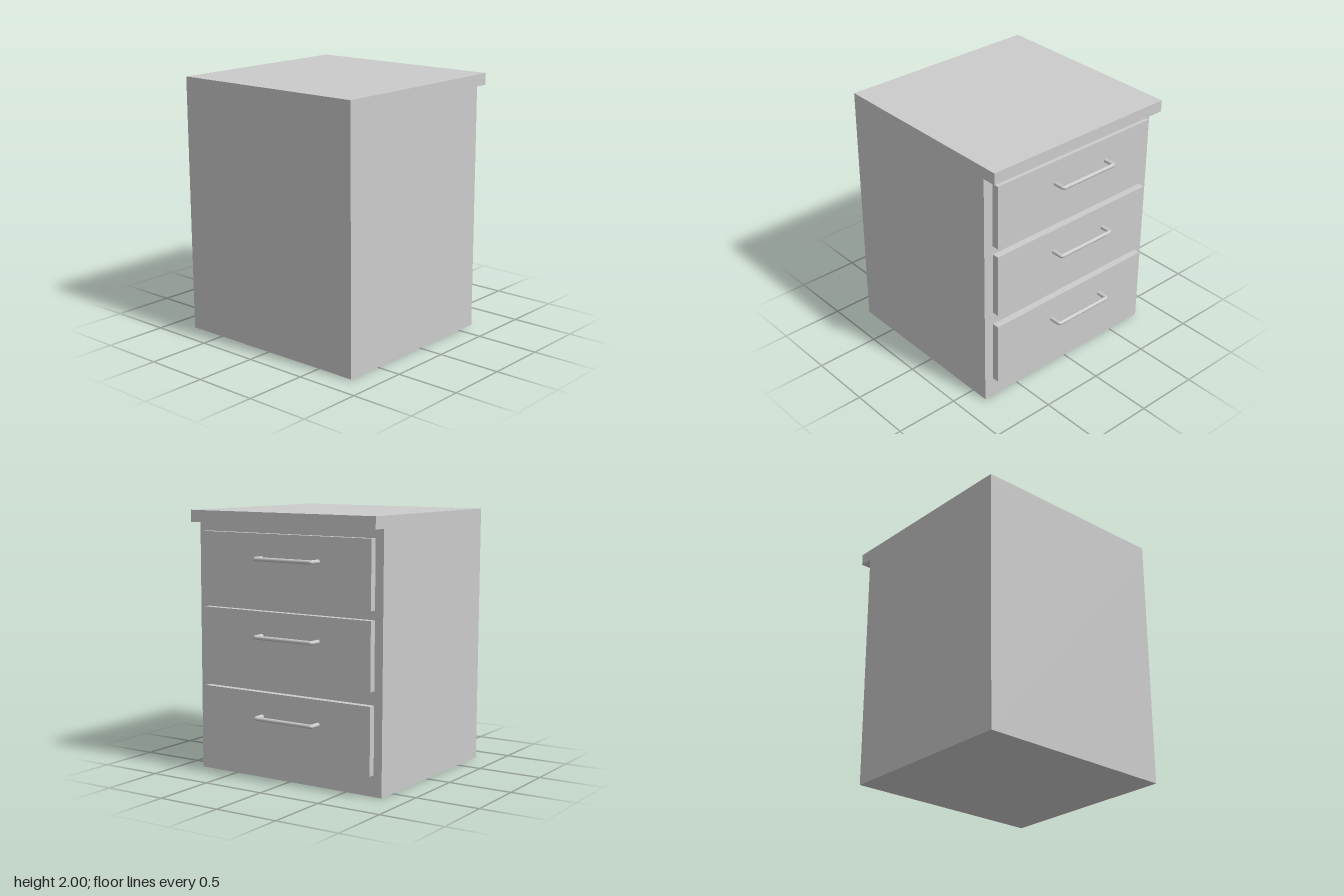
import * as THREE from 'three';

const material = new THREE.MeshStandardMaterial({ color: 0xcccccc });

// Box given by its min and max corners
function box(name, [x0, y0, z0], [x1, y1, z1]) {
  const geometry = new THREE.BoxGeometry(x1 - x0, y1 - y0, z1 - z0);
  geometry.translate((x0 + x1) / 2, (y0 + y1) / 2, (z0 + z1) / 2);
  const mesh = new THREE.Mesh(geometry, material);
  mesh.name = name;
  return mesh;
}

// Bent round bar: two legs out of the drawer front joined by a long grip
function handleGeometry() {
  const inner = 0.7, outer = 0.79, z0 = -0.302, z1 = 0.197, bend = 0.015;
  const p = (x, z) => new THREE.Vector3(x, 0, z);
  const path = new THREE.CurvePath();
  path.add(new THREE.LineCurve3(p(inner, z1), p(outer - bend, z1)));
  path.add(new THREE.QuadraticBezierCurve3(p(outer - bend, z1), p(outer, z1), p(outer, z1 - bend)));
  path.add(new THREE.LineCurve3(p(outer, z1 - bend), p(outer, z0 + bend)));
  path.add(new THREE.QuadraticBezierCurve3(p(outer, z0 + bend), p(outer, z0), p(outer - bend, z0)));
  path.add(new THREE.LineCurve3(p(outer - bend, z0), p(inner, z0)));
  return new THREE.TubeGeometry(path, 100, 0.0155, 16);
}

export function createModel() {
  const model = new THREE.Group();
  model.name = 'drawerCabinet';

  // Everything hangs in one group that leans very slightly towards the back
  const cabinet = new THREE.Group();
  cabinet.name = 'cabinet';
  model.add(cabinet);

  // Carcass and overhanging top
  cabinet.add(box('carcass', [-0.813, 0.004, -0.81], [0.65, 1.906, 0.81]));
  cabinet.add(box('top', [-0.813, 1.906, -0.81], [0.76, 1.996, 0.81]));

  // Three drawers: bottom edge of the front and height of its handle
  const handle = handleGeometry();
  [[0.163, 0.483], [0.767, 1.087], [1.337, 1.659]].forEach(([bottom, grip], i) => {
    const drawer = new THREE.Group();
    drawer.name = `drawer${i + 1}`;
    drawer.add(box('drawerFront', [0.645, bottom, -0.743], [0.704, bottom + 0.502, 0.732]));
    const bar = new THREE.Mesh(handle, material);
    bar.name = 'handle';
    bar.position.y = grip;
    drawer.add(bar);
    cabinet.add(drawer);
  });

  // Lean about the cabinet's mid height
  cabinet.children.forEach((part) => { part.position.y -= 1; });
  cabinet.position.y = 1;
  cabinet.rotation.x = -0.005;
  return model;
}
